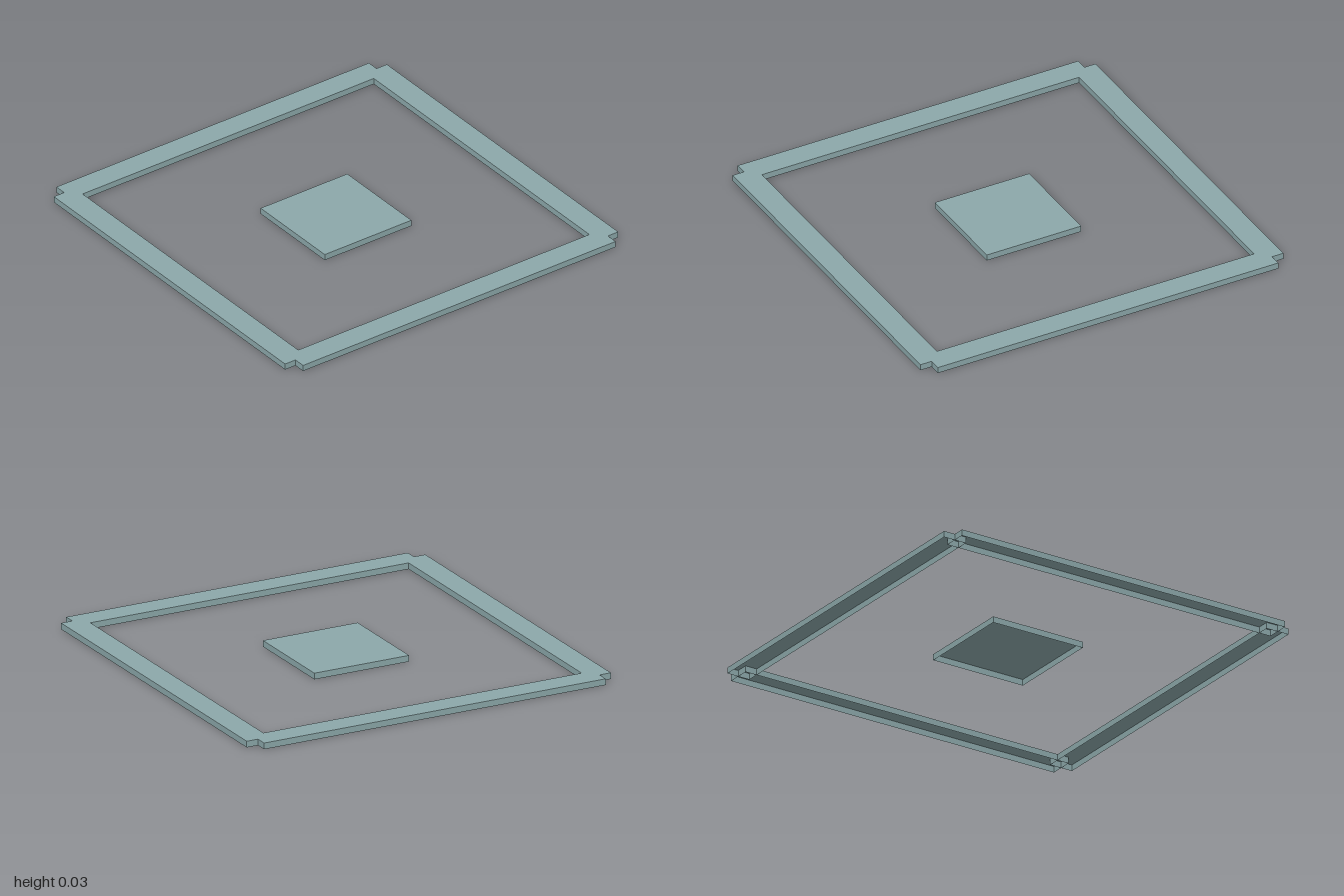
import * as THREE from 'three';

const HEIGHT = 0.032;

// Shallow tray turned upside down: a box with no underside
function openBox(width, depth) {
  const geo = new THREE.BoxGeometry(width, HEIGHT, depth);
  const index = Array.from(geo.index.array);
  index.splice(18, 6); // remove the -y face
  geo.setIndex(index);
  geo.clearGroups();
  geo.translate(0, HEIGHT / 2, 0);
  return geo;
}

export function createModel() {
  const model = new THREE.Group();
  model.name = 'squareFrameWithPad';

  const greyTeal = new THREE.MeshStandardMaterial({ color: 0x8ca8aa, side: THREE.DoubleSide });
  greyTeal.name = 'greyTeal';

  const add = (name, width, depth, x, z) => {
    const mesh = new THREE.Mesh(openBox(width, depth), greyTeal);
    mesh.name = name;
    mesh.position.set(x, 0, z);
    model.add(mesh);
  };

  // Four border bars, overlapping at the corners to leave small notches
  const barLength = 1.876, barWidth = 0.126, offset = 1 - barWidth / 2;
  for (const s of [1, -1]) {
    add(s > 0 ? 'frontBar' : 'backBar', barLength, barWidth, 0, s * offset);
    add(s > 0 ? 'leftBar' : 'rightBar', barWidth, barLength, s * offset, 0);
  }

  // Square pad in the middle
  add('centrePad', 0.52, 0.52, 0, 0);

  return model;
}
